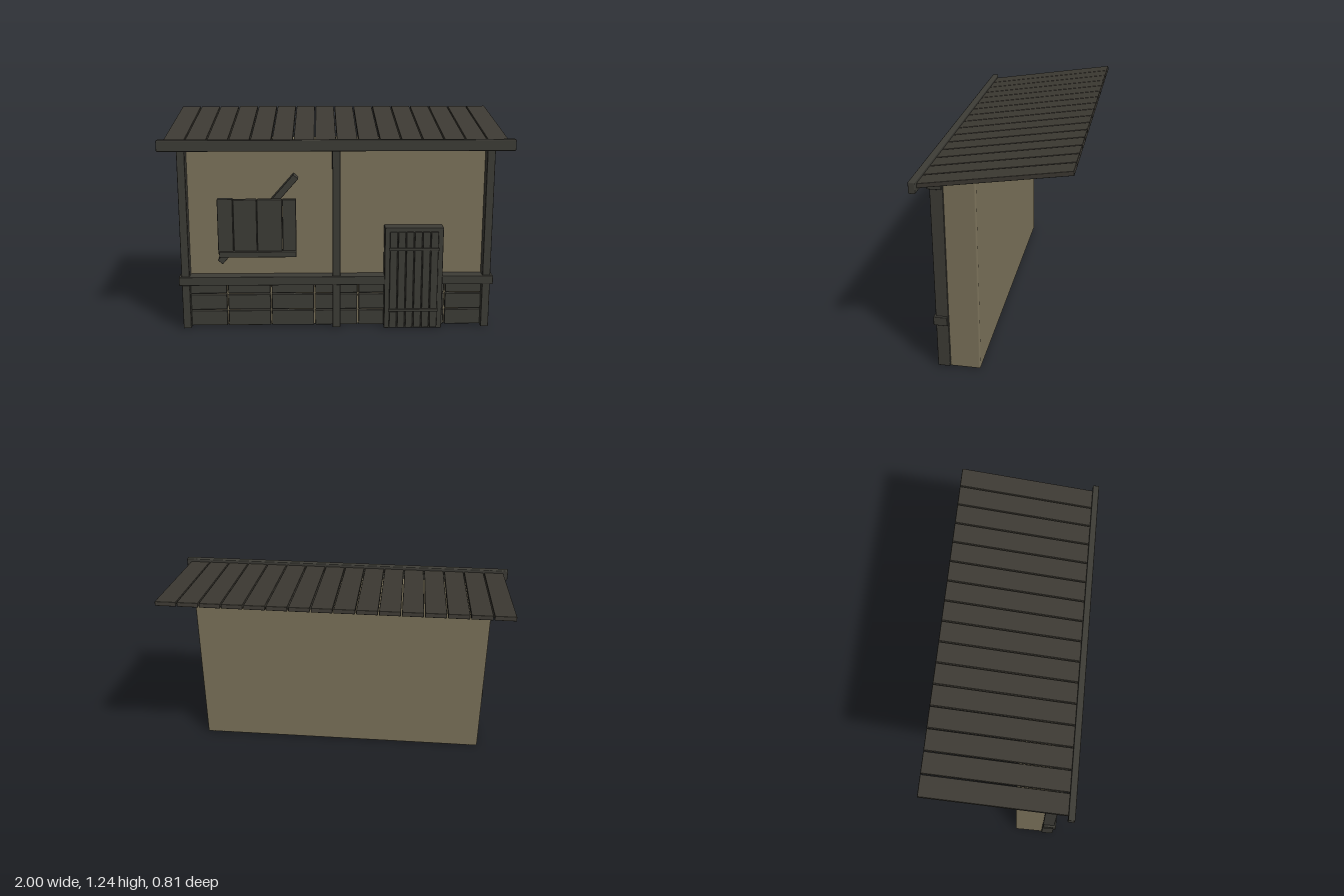
import * as THREE from 'three';
import { RoundedBoxGeometry } from 'three/addons/geometries/RoundedBoxGeometry.js';

const flat = (name, color) => Object.assign(new THREE.MeshStandardMaterial({ color }), { name });

export function createModel() {
  const model = new THREE.Group();
  model.name = 'woodenHouseFront';
  const wood = flat('darkTimber', 0x3d3c36);
  const roofWood = flat('roofTimber', 0x3d3a33);
  const plaster = flat('plaster', 0x7c735b);

  // Slightly eased box given by its min and max on each axis
  function box(parent, name, mat, x0, x1, y0, y1, z0, z1, r = 0.004) {
    const geo = new RoundedBoxGeometry(x1 - x0, y1 - y0, z1 - z0, 1, r);
    const mesh = new THREE.Mesh(geo, mat);
    mesh.position.set((x0 + x1) / 2, (y0 + y1) / 2, (z0 + z1) / 2);
    mesh.name = name;
    parent.add(mesh);
    return mesh;
  }
  function group(name) {
    const g = new THREE.Group();
    g.name = name;
    model.add(g);
    return g;
  }

  // Plaster wall
  box(model, 'wall', plaster, -0.895, 0.895, 0, 1.112, 0.09, 0.265, 0.01);

  // Timber frame
  const frame = group('timberFrame');
  for (const x of [-0.88, 0, 0.88]) {
    box(frame, 'post', wood, x - 0.023, x + 0.023, 0.003, 1.085, 0.258, 0.328);
  }
  box(frame, 'middleRail', wood, -0.918, 0.918, 0.27, 0.322, 0.262, 0.338);
  box(frame, 'topBeam', wood, -0.918, 0.918, 1.066, 1.112, 0.262, 0.338);

  // Lower cladding: seven columns of three boards, with narrow gaps
  const cladding = group('lowerCladding');
  const pitch = 1.8 / 7;
  for (let col = 0; col < 7; col++) {
    for (let row = 0; row < 3; row++) {
      const x = -0.9 + col * pitch;
      const y = 0.003 + row * 0.1;
      box(cladding, 'claddingBoard', wood, x + 0.004, x + pitch - 0.004, y + 0.003, y + 0.095, 0.256, 0.288);
    }
  }

  // Door with frame, vertical slats and two cross battens
  const door = group('door');
  box(door, 'doorFrame', wood, 0.28, 0.62, 0.003, 0.615, 0.262, 0.344);
  for (let i = 0; i < 6; i++) {
    const x = 0.307 + i * 0.0475;
    box(door, 'doorSlat', wood, x + 0.002, x + 0.0455, 0.01, 0.592, 0.33, 0.358);
  }
  for (const y of [0.12, 0.49]) {
    box(door, 'doorBatten', wood, 0.305, 0.594, y - 0.008, y + 0.008, 0.35, 0.366, 0.002);
  }

  // Shutter of four boards over a ledge
  const shutter = group('shutter');
  const edges = [-0.68, -0.59, -0.455, -0.31, -0.23];
  for (let i = 0; i < 4; i++) {
    const outer = i === 0;
    box(shutter, 'shutterBoard', wood, edges[i] + 0.001, edges[i + 1] - 0.001,
      0.472, outer ? 0.793 : 0.788, 0.328, outer ? 0.37 : i === 3 ? 0.358 : 0.364);
  }
  box(shutter, 'shutterLedge', wood, -0.672, -0.23, 0.455, 0.488, 0.355, 0.388);

  // Diagonal brace behind the shutter
  const brace = box(shutter, 'brace', wood, -0.335, 0.335, -0.019, 0.019, 0.262, 0.332);
  brace.position.set(-0.453, 0.662, 0.297);
  brace.rotation.z = Math.atan2(0.505, 0.445);

  // Sloping roof of sixteen planks running front to back
  const roof = group('roof');
  roof.position.set(0, 1.165, -0.017);
  roof.rotation.x = Math.atan2(0.12, 0.77);
  const step = 1.95 / 16;
  for (let i = 0; i < 16; i++) {
    const x = -0.975 + i * step;
    box(roof, 'roofPlank', roofWood, x + 0.003, x + step - 0.003, -0.0125, 0.0125, -0.394, 0.4, 0.003);
  }

  // Eaves board
  box(model, 'eavesBoard', wood, -1, 1, 1.07, 1.134, 0.37, 0.407, 0.006);

  return model;
}
